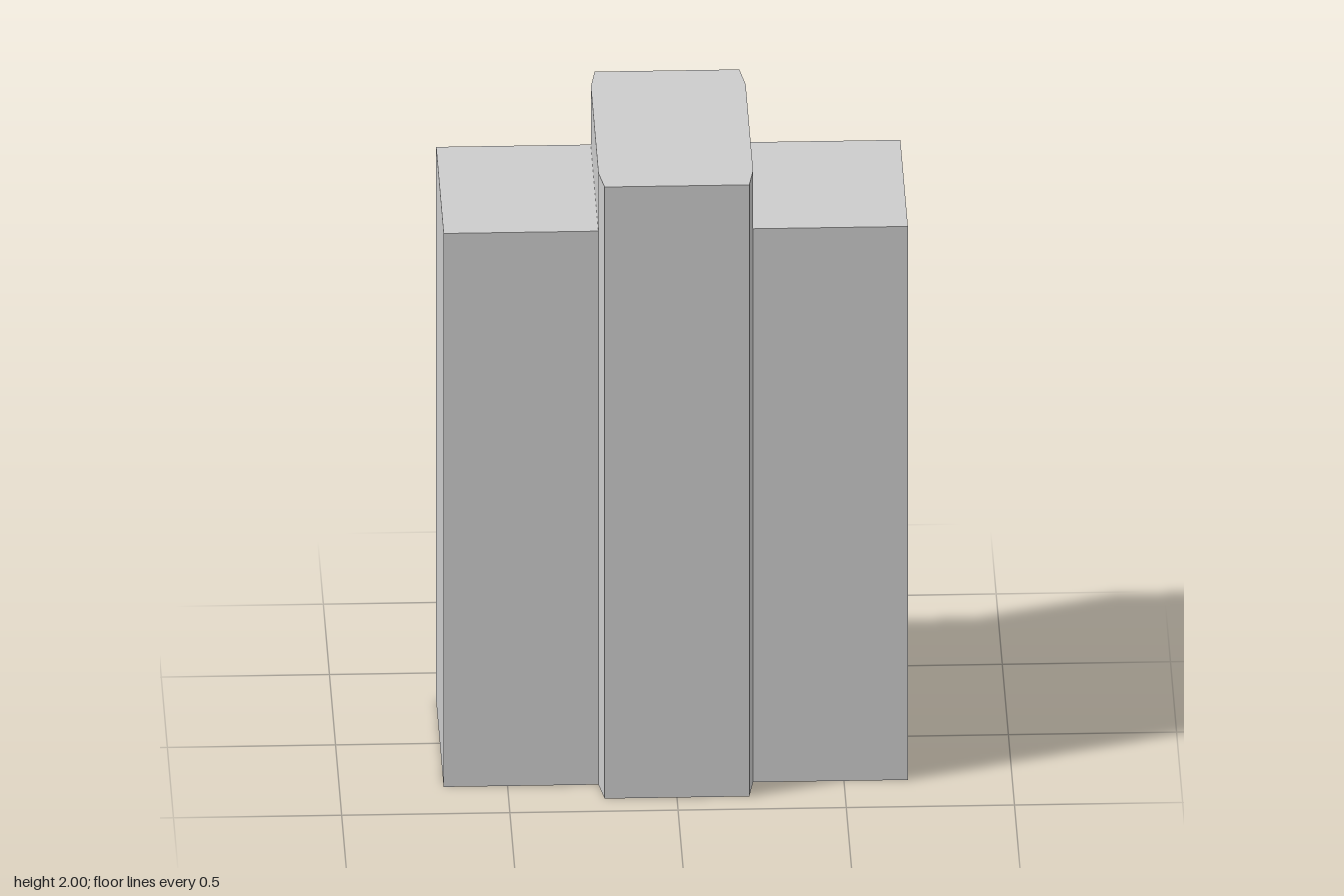
import * as THREE from 'three';
import { mergeGeometries } from 'three/addons/utils/BufferGeometryUtils.js';

const HEIGHT = 2, WING_HEIGHT = 1.81;
const FRONT = 0.31, BACK = -0.305; // wing depth limits

const material = new THREE.MeshStandardMaterial({
  color: 0xcccccc, flatShading: true, side: THREE.DoubleSide,
});

// Upright panel between two plan points [x, z], facing right of travel
function panel([ax, az], [bx, bz], y0, y1) {
  const dx = bx - ax, dz = bz - az;
  return new THREE.PlaneGeometry(Math.hypot(dx, dz), y1 - y0)
    .rotateY(Math.atan2(-dz, dx))
    .translate((ax + bx) / 2, (y0 + y1) / 2, (az + bz) / 2);
}

// Flat roof over a plan outline
function roof(plan, y) {
  const shape = new THREE.Shape(plan.map(([x, z]) => new THREE.Vector2(x, -z)));
  return new THREE.ShapeGeometry(shape).rotateX(-Math.PI / 2).translate(0, y, 0);
}

// Open-bottomed block: a roof plus one panel per segment
function block(name, plan, height, segments, baseOf = () => 0) {
  const parts = [roof(plan, height)];
  for (let i = 0; i < segments; i++) {
    parts.push(panel(plan[i], plan[(i + 1) % plan.length], baseOf(i), height));
  }
  const mesh = new THREE.Mesh(mergeGeometries(parts), material);
  mesh.name = name;
  return mesh;
}

export function createModel() {
  const group = new THREE.Group();
  group.name = 'steppedTower';

  // Tall centre with slanted corners; its sides are open into the wings
  const centre = [
    [-0.215, 0.41], [0.215, 0.41], [0.23, FRONT], [0.23, BACK],
    [0.215, -0.41], [-0.215, -0.41], [-0.23, BACK], [-0.23, FRONT],
  ];
  group.add(block('centreTower', centre, HEIGHT, 8, (i) => (i === 2 || i === 6 ? WING_HEIGHT : 0)));

  // Lower wings, each with three outer walls
  const left = [[0.23, FRONT], [0.69, FRONT], [0.69, BACK], [0.23, BACK]];
  const right = left.map(([x, z]) => [-x, z]).reverse();
  group.add(block('leftWing', left, WING_HEIGHT, 3));
  group.add(block('rightWing', right, WING_HEIGHT, 3));

  return group;
}
